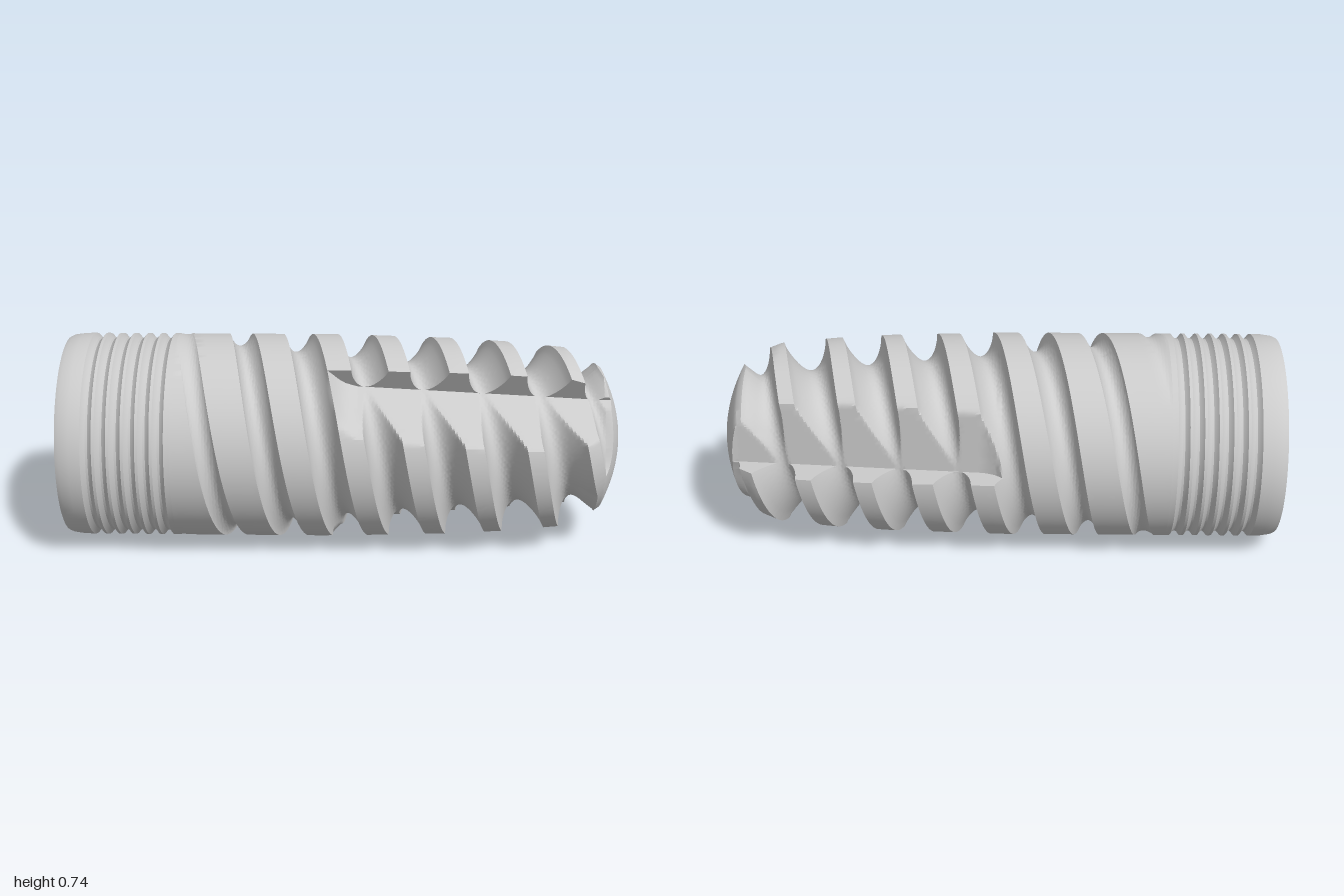
import * as THREE from 'three';
import { toCreasedNormals } from 'three/addons/utils/BufferGeometryUtils.js';

const AXIS = 0.37, TAU = Math.PI * 2;
const PITCH = 0.21, LEAD = 0.42, PHASE = 0.161; // two-start thread
const X0 = -0.6, X1 = 0.93; // threaded length

// Piecewise-linear profile lookup
function lookup(table, x) {
  if (x <= table[0][0]) return table[0][1];
  for (let i = 1; i < table.length; i++) {
    const [xa, ya] = table[i - 1], [xb, yb] = table[i];
    if (x <= xb) return ya + (yb - ya) * (x - xa) / (xb - xa);
  }
  return table[table.length - 1][1];
}

const crestRadius = x => lookup([[-0.6, 0.37], [0, 0.37], [0.4, 0.359], [0.6, 0.347], [0.8, 0.328], [0.87, 0.3], [0.93, 0.258]], x);
const rootRadius = x => lookup([[-0.6, 0.37], [-0.5, 0.346], [-0.35, 0.32], [-0.15, 0.302], [0, 0.288], [0.5, 0.246], [0.93, 0.204]], x);
// The last crest widens and merges into the rounded tip
const crestWidth = x => lookup([[-0.6, 0.15], [-0.26, 0.11], [0, 0.083], [0.4, 0.068], [0.93, 0.045], [1, 0.17]], x);
// Distance of the flat flute floor from the axis, with a run-out ramp
const fluteFloor = x => lookup([[-0.07, 0.4], [-0.05, 0.365], [-0.02, 0.325], [0.01, 0.299], [0.05, 0.283], [0.93, 0.215]], x);

// Radius of the threaded surface at x and angle a (from +y towards +z);
// grooves fall steeply behind a crest and rise gently to the next
function threadRadius(x, a) {
  const turn = PHASE + LEAD * a / TAU;
  const c = turn + Math.floor((x - turn) / PITCH) * PITCH;
  const start = c + crestWidth(c) / 2;
  const end = c + PITCH - crestWidth(c + PITCH) / 2;
  const t = Math.min(1, Math.max(0, (x - start) / (end - start)));
  const skew = lookup([[-0.3, 0.8], [0.1, 0.64]], c);
  const groove = Math.pow(Math.max(0, Math.sin(Math.PI * Math.pow(t, skew))), 0.78);
  return crestRadius(x) - (crestRadius(x) - rootRadius(x)) * groove;
}

// Skins columns of [x, radius, angle] points around the x axis
function skin(columns, inward = false) {
  const pos = [];
  const point = ([x, r, a]) => new THREE.Vector3(x, AXIS + r * Math.cos(a), r * Math.sin(a));
  const tri = (p, q, s) => {
    const n = new THREE.Vector3().subVectors(q, p).cross(new THREE.Vector3().subVectors(s, p));
    if (n.length() < 1e-10) return;
    for (const v of inward ? [p, s, q] : [p, q, s]) pos.push(v.x, v.y, v.z);
  };
  const grid = columns.map(col => col.map(point));
  for (let j = 0; j + 1 < grid.length; j++) {
    const A = grid[j], B = grid[j + 1];
    for (let i = 0; i + 1 < A.length; i++) {
      tri(A[i], B[i], A[i + 1]);
      tri(B[i], B[i + 1], A[i + 1]);
    }
  }
  const g = new THREE.BufferGeometry();
  g.setAttribute('position', new THREE.Float32BufferAttribute(pos, 3));
  return toCreasedNormals(g, 0.6);
}

// One column of the threaded body, following the helix, closed by the tip dome
function threadColumn(a, intoFlute) {
  const col = [];
  const radius = x => {
    const r = threadRadius(x, a);
    return intoFlute === null ? r : Math.min(r, fluteFloor(x) / Math.max(0.01, Math.cos(intoFlute)));
  };
  const add = x => {
    const xc = Math.min(X1, Math.max(X0, x));
    col.push([xc, radius(xc), a]);
  };
  for (let k = -7; k <= 5; k++) {
    const c = PHASE + LEAD * a / TAU + k * PITCH;
    const w = crestWidth(c), end = c + PITCH - crestWidth(c + PITCH) / 2;
    for (let i = 0; i < 4; i++) add(c - w / 2 + w * i / 4);
    // samples crowd towards the steep flank
    for (let i = 0; i < 24; i++) add(c + w / 2 + (end - c - w / 2) * Math.pow(i / 24, 1.4));
  }
  const rim = radius(X1);
  for (let i = 0; i <= 10; i++) {
    const r = rim * (1 - i / 10);
    col.push([1 - 0.07 * (r / 0.258) ** 2, r, a]);
  }
  return col;
}

export function createModel() {
  const model = new THREE.Group();
  const material = new THREE.MeshStandardMaterial({ color: 0xcccccc });
  const add = (name, geometry) => {
    const mesh = new THREE.Mesh(geometry, material);
    mesh.name = name;
    model.add(mesh);
  };
  const around = (n, fn) => Array.from({ length: n + 1 }, (_, j) => fn(j / n * TAU));

  // Threaded body with three flutes, each a radial wall and a flat floor
  const columns = [], SEG = 72, third = TAU / 3;
  for (let f = 0; f < 3; f++) {
    const a0 = -Math.PI / 2 + f * third;
    for (let j = 0; j <= SEG; j++) {
      const d = third * j / SEG;
      columns.push(threadColumn(a0 + d, d < Math.PI / 2 ? d : null));
    }
  }
  columns.push(threadColumn(Math.PI * 1.5, 0)); // closing wall
  add('threadedBody', skin(columns));

  // Collar with fine rounded grooves
  const collar = [[-1, 0.357], [-0.985, 0.364], [-0.95, 0.369], [-0.915, 0.37]];
  for (let k = 0; k < 6; k++) {
    for (let i = 0; i <= 5; i++) {
      const t = i / 5;
      collar.push([-0.91 + k * 0.05 + 0.04 * t, 0.37 - 0.018 * Math.sin(Math.PI * t)]);
    }
  }
  collar.push([X0, 0.37]);
  add('groovedCollar', skin(around(96, a => collar.map(([x, r]) => [x, r, a]))));

  // Socket: a cone meeting a hexagonal recess, then a round bore
  const socket = around(96, a => {
    const side = (a + TAU / 12) % (TAU / 6) - TAU / 12;
    const hex = 0.26 / Math.cos(side);
    const col = [[-1, 0.357, a]];
    for (let i = 0; i <= 20; i++) {
      const x = -1 + 0.3 * i / 20;
      col.push([x, Math.max(hex, 0.344 - 0.33 * (x + 1)), a]);
    }
    col.push([-0.5, hex, a], [-0.5, 0.17, a], [-0.05, 0.17, a], [0, 0, a]);
    return col;
  });
  add('hexSocket', skin(socket, true));

  return model;
}
